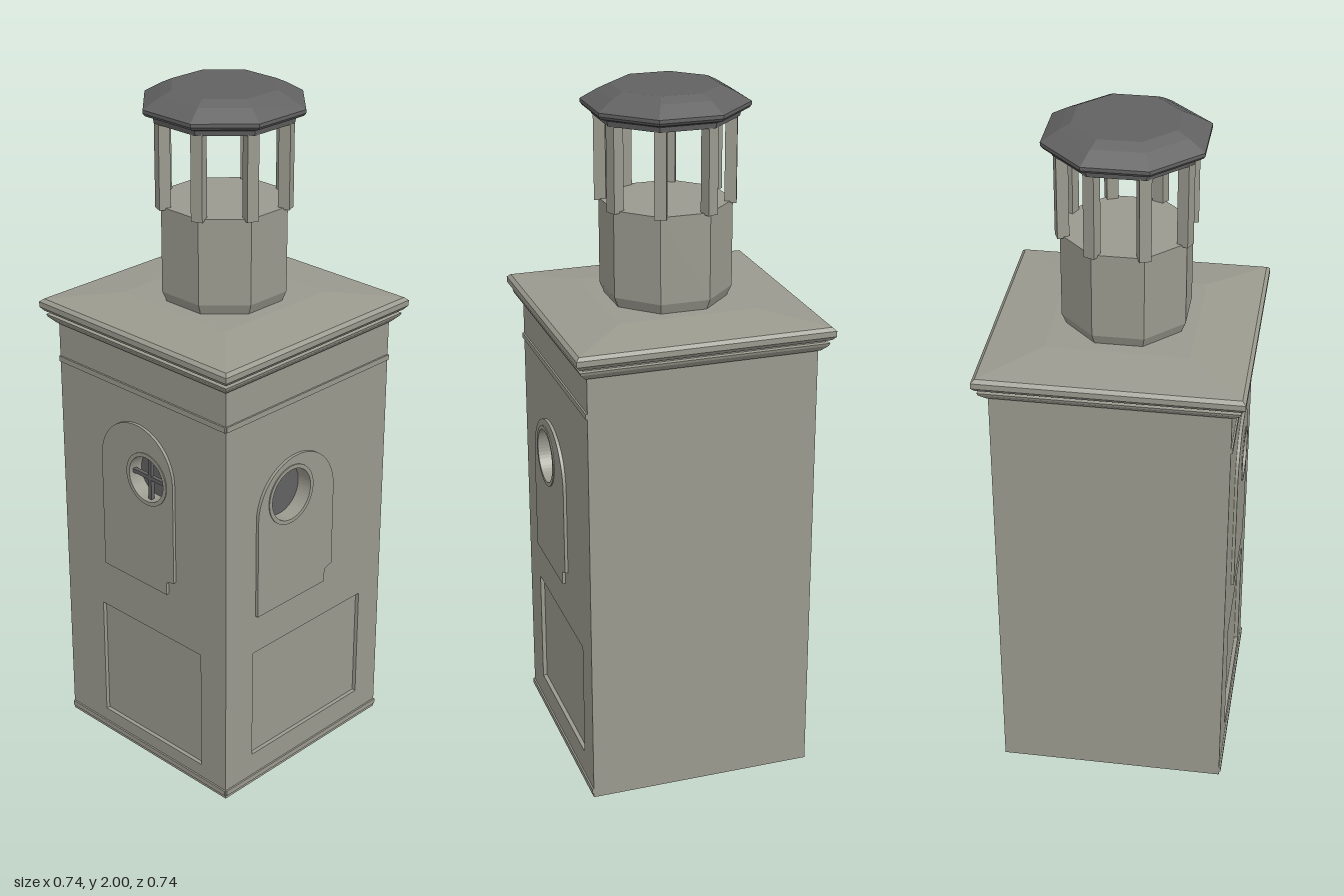
import * as THREE from 'three';

const stone = new THREE.MeshStandardMaterial({ color: 0x9b9a8f });
stone.name = 'stone';
const slate = new THREE.MeshStandardMaterial({ color: 0x626262 });
slate.name = 'slate';

const HALF = 0.33;    // half width of the tower
const WALL = 0.035;   // wall thickness
const TOP = 1.315;    // height of the walls

function add(parent, name, geometry, material, x = 0, y = 0, z = 0) {
  const mesh = new THREE.Mesh(geometry, material);
  mesh.name = name;
  mesh.position.set(x, y, z);
  parent.add(mesh);
  return mesh;
}

// Faceted solid of n sides; profile rows are [distance to flat side, y], bottom to top
function faceted(n, profile) {
  const k = 1 / Math.cos(Math.PI / n);
  const points = profile.map(([r, y]) => new THREE.Vector2(r * k, y));
  const geometry = new THREE.LatheGeometry(points, n, Math.PI / n).toNonIndexed();
  geometry.computeVertexNormals();
  return geometry;
}

function rect(Kind, x0, y0, x1, y1) {
  return new Kind([[x0, y0], [x1, y0], [x1, y1], [x0, y1]].map(p => new THREE.Vector2(...p)));
}

function disc(Kind, [x, y], r) {
  const shape = new Kind();
  shape.absarc(x, y, r, 0, Math.PI * 2, false);
  return shape;
}

function slab(shape, depth) {
  return new THREE.ExtrudeGeometry(shape, { depth, bevelEnabled: false, curveSegments: 24 });
}

// Decorated wall, drawn in its own plane with the outside towards +z
function decoratedWall(name, { from, panel, arch, win, radius, cross }) {
  const wall = new THREE.Group();
  wall.name = name;
  const inner = HALF - WALL;

  const face = rect(THREE.Shape, from, 0, HALF, TOP);
  face.holes.push(disc(THREE.Path, win, radius), rect(THREE.Path, ...panel));
  add(wall, 'wall', slab(face, WALL), stone, 0, 0, inner);

  // Sunken lower panel
  add(wall, 'sunkenPanel', slab(rect(THREE.Shape, ...panel), WALL - 0.012), stone, 0, 0, inner);

  // Raised arched panel with a stepped lower corner
  const [l, r, bottom, top] = arch;
  const half = (r - l) / 2;
  const outline = new THREE.Shape();
  outline.moveTo(l, bottom);
  outline.lineTo(r - 0.03, bottom);
  outline.lineTo(r - 0.03, bottom + 0.04);
  outline.lineTo(r, bottom + 0.05);
  outline.lineTo(r, top - half);
  outline.absarc((l + r) / 2, top - half, half, 0, Math.PI, false);
  outline.lineTo(l, bottom);
  outline.holes.push(disc(THREE.Path, win, radius));
  add(wall, 'archedPanel', slab(outline, 0.009), stone, 0, 0, HALF);

  // Round window frame
  const ring = disc(THREE.Shape, win, radius);
  ring.holes.push(disc(THREE.Path, win, radius - 0.012));
  add(wall, 'windowFrame', slab(ring, WALL + 0.012), stone, 0, 0, inner);
  if (cross) {
    const length = (radius - 0.01) * 2;
    add(wall, 'windowBarUpright', new THREE.BoxGeometry(0.012, length, 0.012), slate, win[0], win[1], HALF - 0.008);
    add(wall, 'windowBarLevel', new THREE.BoxGeometry(length, 0.012, 0.012), slate, win[0], win[1], HALF - 0.008);
  }

  // String courses
  for (const y of [0.02, 1.2]) {
    add(wall, 'stringCourse', new THREE.BoxGeometry(HALF * 2, 0.016, 0.01), stone, 0, y, HALF);
  }
  return wall;
}

export function createModel() {
  const model = new THREE.Group();
  model.name = 'lanternTower';

  // Dark interior, seen through the windows and from below
  const core = (HALF - WALL) * 2;
  add(model, 'interior', new THREE.BoxGeometry(core, TOP - 0.002, core), slate, 0, TOP / 2, 0);

  // Front and left walls with windows and panels
  model.add(decoratedWall('frontWall', {
    from: -HALF, panel: [-0.18, 0.07, 0.23, 0.45],
    arch: [-0.155, 0.133, 0.6, 1.1], win: [0.03, 0.945], radius: 0.08, cross: true,
  }));
  const left = decoratedWall('leftWall', {
    from: -HALF + WALL, panel: [-0.22, 0.1, 0.24, 0.45],
    arch: [-0.21, 0.1, 0.57, 1.03], win: [-0.08, 0.915], radius: 0.09, cross: false,
  });
  left.rotation.y = Math.PI / 2;
  model.add(left);

  // Plain walls
  const mid = HALF - WALL / 2;
  add(model, 'backWall', new THREE.BoxGeometry(HALF * 2 - WALL, TOP, WALL), stone, -WALL / 2, TOP / 2, -mid);
  add(model, 'rightWall', new THREE.BoxGeometry(WALL, TOP, core), stone, -mid, TOP / 2, 0);

  // Cornice and low hipped roof
  add(model, 'cornice', faceted(4, [
    [0.3, 1.31], [0.335, 1.31], [0.352, 1.328], [0.355, 1.336], [0.345, 1.338],
    [0.345, 1.344], [0.358, 1.346], [0.368, 1.358], [0.368, 1.374], [0.358, 1.383],
    [0.2, 1.402], [0, 1.402],
  ]), stone);

  // Eight-sided drum
  add(model, 'lanternDrum', faceted(8, [
    [0, 1.39], [0.155, 1.39], [0.172, 1.432], [0.172, 1.68], [0, 1.68],
  ]), stone);

  // Posts at the corners of the drum
  for (let i = 0; i < 8; i++) {
    const a = (i + 0.5) * Math.PI / 4;
    const post = add(model, 'lanternPost', new THREE.BoxGeometry(0.033, 0.25, 0.033), stone,
      Math.sin(a) * 0.18, 1.8, Math.cos(a) * 0.18);
    post.rotation.y = a;
  }

  // Lantern cap
  add(model, 'lanternCap', faceted(8, [
    [0, 1.915], [0.187, 1.915], [0.19, 1.93], [0.21, 1.938], [0.216, 1.946],
    [0.216, 1.956], [0.17, 1.985], [0.14, 2], [0, 2],
  ]), slate);

  return model;
}
